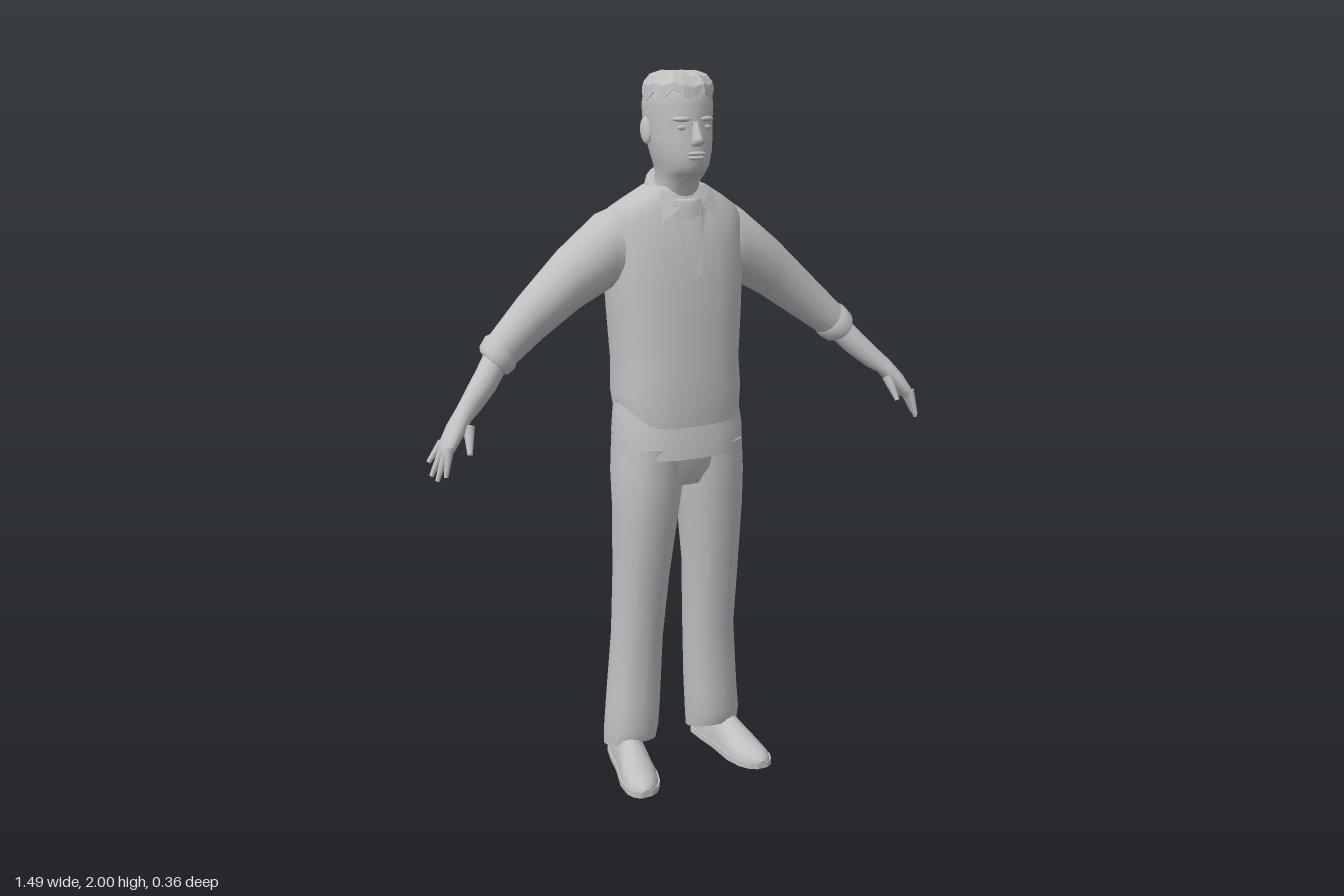
import * as THREE from 'three';

const grey = new THREE.MeshStandardMaterial({ color: 0xc0c0c0, side: THREE.DoubleSide });
grey.name = 'plain grey';
const SEG = 20;
const V = (x, y, z) => new THREE.Vector3(x, y, z);
const se = (v, p) => Math.sign(v) * Math.abs(v) ** p;

// Closed skin over rings of points, with flat caps; turned outward by its signed volume
function loft(rings, faceted = false) {
  const n = rings[0].length, pts = rings.flat(), idx = [];
  for (let r = 0; r < rings.length - 1; r++) {
    for (let i = 0; i < n; i++) {
      const a = r * n + i, b = r * n + (i + 1) % n;
      idx.push(a, b, a + n, b, b + n, a + n);
    }
  }
  [rings[0], rings[rings.length - 1]].forEach((ring, end) => {
    const base = pts.length;
    const mid = ring.reduce((m, p) => m.add(p), V(0, 0, 0)).divideScalar(n);
    pts.push(...ring, mid);
    for (let i = 0; i < n; i++) {
      const a = base + i, b = base + (i + 1) % n;
      idx.push(...(end ? [a, b, base + n] : [b, a, base + n]));
    }
  });
  let volume = 0;
  for (let i = 0; i < idx.length; i += 3) {
    volume += pts[idx[i]].dot(V(0, 0, 0).crossVectors(pts[idx[i + 1]], pts[idx[i + 2]]));
  }
  if (volume < 0) idx.reverse();
  let geo = new THREE.BufferGeometry().setFromPoints(pts);
  geo.setIndex(idx);
  if (faceted) geo = geo.toNonIndexed();
  geo.computeVertexNormals();
  return geo;
}

const ringOf = (fn, n = SEG) => Array.from({ length: n }, (_, i) => {
  const a = (i / n) * Math.PI * 2;
  return fn(Math.cos(a), Math.sin(a), i);
});

// Level ring between xa..xb and zb..zf; lift(c, s, i) shifts points up or down
const level = (y, xa, xb, zf, zb, p = 1, lift = () => 0) => ringOf((c, s, i) => V(
  (xa + xb) / 2 + (xb - xa) / 2 * se(c, p),
  y + lift(c, s, i),
  (zf + zb) / 2 + (zf - zb) / 2 * se(s, p)));

// Arm ring spanning an upper and a lower point, with a depth centre and radius
const armRing = (side) => ([tx, ty, bx, by, zc, zr]) => ringOf((c, s) => V(
  side * ((tx + bx) / 2 + (tx - bx) / 2 * c), (ty + by) / 2 + (ty - by) / 2 * c, zc + zr * s), 14);

export function createModel() {
  const model = new THREE.Group();
  const add = (name, geo, parent = model) => {
    const mesh = new THREE.Mesh(geo, grey);
    mesh.name = name;
    parent.add(mesh);
    return mesh;
  };
  const rod = (name, a, b, ra, rb, parent) => {
    const d = b.clone().sub(a);
    const mesh = add(name, new THREE.CylinderGeometry(rb, ra, d.length(), 7), parent);
    mesh.position.copy(a).add(b).multiplyScalar(0.5);
    mesh.quaternion.setFromUnitVectors(V(0, 1, 0), d.normalize());
  };
  const blob = (name, x, y, z, sx, sy, sz, parent) => {
    const mesh = add(name, new THREE.SphereGeometry(1, 12, 8), parent);
    mesh.position.set(x, y, z);
    mesh.scale.set(sx, sy, sz);
    return mesh;
  };
  const plate = (name, points) => {
    const geo = new THREE.BufferGeometry().setFromPoints(points);
    geo.setIndex(points.length === 4 ? [0, 1, 2, 0, 2, 3] : [0, 1, 2]);
    geo.computeVertexNormals();
    add(name, geo);
  };

  // Undershirt showing below the sweater
  add('undershirt', loft([
    [0.97, 0.187, 0.130, -0.158], [1.03, 0.187, 0.124, -0.158],
    [1.09, 0.180, 0.112, -0.158], [1.16, 0.165, 0.100, -0.155],
  ].map(([y, w, f, b]) => level(y, -w, w, f, b, 0.85))));

  // Sweater, its hem raised at the sides and low at the back
  const hem = (c, s) => 0.06 * Math.abs(c) ** 4 - (s < 0 ? 0.045 * s * s : 0) + 0.006 * Math.sin(5 * c);
  add('sweater', loft([
    [1.05, 0.179, 0.118, -0.163], [1.14, 0.183, 0.122, -0.172], [1.22, 0.179, 0.116, -0.177],
    [1.35, 0.188, 0.108, -0.178], [1.45, 0.194, 0.100, -0.178], [1.55, 0.195, 0.084, -0.177],
    [1.60, 0.200, 0.068, -0.168], [1.64, 0.180, 0.055, -0.150], [1.67, 0.135, 0.045, -0.125],
    [1.70, 0.085, 0.030, -0.100],
  ].map(([y, w, f, b], i) => level(y, -w, w, f, b, 0.82, i ? undefined : hem))));

  // Collar band sloping down to the front, with an open neck
  const slope = (c, s) => -0.042 * s;
  add('collar', loft([
    [1.655, 0.094, 0.066, -0.112], [1.700, 0.080, 0.058, -0.104], [1.706, 0.072, 0.052, -0.096],
  ].map(([y, w, f, b]) => level(y, -w, w, f, b, 1, slope))));
  for (const s of [-1, 1]) {
    plate('collarFlap', [V(s * 0.075, 1.695, 0.040), V(s * 0.088, 1.61, 0.074), V(s * 0.03, 1.65, 0.074)]);
    plate('necklineEdge', [V(s * 0.05, 1.66, 0.066), V(s * 0.03, 1.65, 0.074),
      V(-0.012, 1.47, 0.104), V(s * 0.012, 1.47, 0.106)]);
  }
  plate('placket', [V(0.028, 1.63, 0.078), V(0.004, 1.62, 0.078), V(-0.014, 1.46, 0.106), V(0.006, 1.46, 0.106)]);

  // Head and neck
  const head = new THREE.Group();
  head.name = 'head';
  model.add(head);
  add('skull', loft([
    [1.64, 0.066, 0.035, -0.090], [1.71, 0.060, 0.052, -0.088], [1.733, 0.060, 0.092, -0.088],
    [1.755, 0.068, 0.107, -0.090], [1.79, 0.078, 0.108, -0.100], [1.83, 0.085, 0.104, -0.115],
    [1.87, 0.088, 0.099, -0.126], [1.91, 0.091, 0.099, -0.128], [1.95, 0.087, 0.090, -0.112],
    [1.975, 0.072, 0.068, -0.085], [1.988, 0.045, 0.035, -0.050],
  ].map(([y, w, f, b]) => level(y, -w, w, f, b))), head);
  add('nose', loft([
    [1.808, 0.012, 0.114], [1.816, 0.019, 0.132], [1.828, 0.014, 0.130], [1.87, 0.008, 0.106],
  ].map(([y, w, f]) => level(y, -w, w, f, 0.08))), head);
  blob('upperLip', 0, 1.789, 0.104, 0.028, 0.006, 0.011, head);
  blob('lowerLip', 0, 1.778, 0.103, 0.024, 0.007, 0.010, head);
  for (const s of [-1, 1]) {
    blob('eye', s * 0.034, 1.855, 0.089, 0.015, 0.007, 0.007, head);
    blob('brow', s * 0.036, 1.876, 0.088, 0.024, 0.007, 0.010, head).rotation.y = s * 0.35;
    const ear = blob('ear', s * 0.089, 1.845, -0.018, 0.009, 0.036, 0.022, head);
    ear.rotation.set(-0.2, s * -0.3, 0);
  }

  // Short faceted hair with a ragged fringe and crown
  const ragged = (amount) => (c, s, i) => amount * ((i * 7) % 5 - 2);
  add('hair', loft([
    [1.935, 0.091, 0.096, -0.118, 0.008], [1.962, 0.088, 0.090, -0.110, 0.003],
    [1.984, 0.074, 0.068, -0.085, 0.002], [1.996, 0.045, 0.035, -0.050, 0.001],
  ].map(([y, w, f, b, r]) => level(y, -w, w, f, b, 0.95, ragged(r))), true), head);

  // Hips joining the trouser legs
  add('trouserSeat', loft([
    [0.88, 0.06, 0.075, -0.10], [0.93, 0.15, 0.098, -0.135], [1.0, 0.18, 0.112, -0.150],
  ].map(([y, w, f, b]) => level(y, -w, w, f, b, 0.85))));

  for (const s of [-1, 1]) {
    const side = s > 0 ? 'left' : 'right';

    // Trouser leg, its cuff lifted over the shoe
    add(side + 'TrouserLeg', loft([
      [0.055, 0.062, 0.212, 0.020, -0.142, 0.028], [0.11, 0.056, 0.213, 0.032, -0.140, 0.015],
      [0.20, 0.050, 0.206, 0.030, -0.136, 0], [0.40, 0.043, 0.190, 0.034, -0.128, 0],
      [0.60, 0.033, 0.189, 0.064, -0.118, 0], [0.80, 0.012, 0.190, 0.094, -0.124, 0],
      [0.90, -0.002, 0.190, 0.105, -0.142, 0], [1.0, -0.004, 0.182, 0.112, -0.152, 0],
    ].map(([y, a, b, f, k, t]) => level(y, s * a, s * b, f, k, 0.9, (c, q) => t * q))));

    // Shoe: domed upper on a thin sole, toes turned out
    const stations = [[-0.132, 0.022, 0.04], [-0.115, 0.042, 0.07], [-0.06, 0.046, 0.1], [0.0, 0.046, 0.108],
      [0.04, 0.050, 0.09], [0.09, 0.055, 0.064], [0.14, 0.048, 0.05], [0.168, 0.032, 0.038], [0.18, 0.012, 0.024]];
    const footX = (z) => 0.138 + 0.05 * (z + 0.13) / 0.31;
    add(side + 'Shoe', loft(stations.map(([z, w, h]) => ringOf((c, q) =>
      V(s * (footX(z) + w * c), 0.008 + (h - 0.008) * se(Math.max(q, 0), 0.8), z)))));
    add(side + 'Sole', loft(stations.map(([z, w]) =>
      [[-1, 0], [1, 0], [1, 0.018], [-1, 0.018]].map(([x, y]) =>
        V(s * (footX(z) + x * (w + 0.004)), y, z))), true));

    // Sleeve running out of the shoulder, with a rolled cuff
    const ring = armRing(s);
    add(side + 'Sleeve', loft([
      [0.10, 1.670, 0.13, 1.40, -0.065, 0.085], [0.205, 1.632, 0.19, 1.425, -0.062, 0.098],
      [0.32, 1.540, 0.28, 1.378, -0.060, 0.080], [0.44, 1.425, 0.39, 1.305, -0.050, 0.062],
      [0.545, 1.318, 0.485, 1.240, -0.028, 0.052],
    ].map(ring)));
    add(side + 'Cuff', loft([
      [0.525, 1.335, 0.468, 1.252, -0.033, 0.052], [0.542, 1.330, 0.474, 1.240, -0.030, 0.060],
      [0.562, 1.305, 0.496, 1.226, -0.022, 0.058], [0.562, 1.290, 0.508, 1.228, -0.018, 0.048],
    ].map(ring)));

    // Forearm flowing into the palm
    add(side + 'Forearm', loft([
      [0.54, 1.305, 0.495, 1.245, -0.025, 0.043], [0.585, 1.250, 0.540, 1.195, 0.008, 0.040],
      [0.630, 1.200, 0.592, 1.152, 0.038, 0.032], [0.655, 1.172, 0.622, 1.135, 0.058, 0.030],
      [0.688, 1.130, 0.648, 1.105, 0.072, 0.040], [0.712, 1.088, 0.678, 1.072, 0.083, 0.043],
      [0.714, 1.072, 0.688, 1.060, 0.085, 0.038],
    ].map(ring)));
    [[0.052, 0.737, 1.035, 0.052], [0.074, 0.738, 1.005, 0.078],
      [0.096, 0.730, 0.998, 0.104], [0.116, 0.714, 1.012, 0.128]].forEach(([z, x, y, tipZ]) =>
      rod(side + 'Finger', V(s * 0.698, 1.085, z), V(s * x, y, tipZ), 0.012, 0.006));
    rod(side + 'Thumb', V(s * 0.636, 1.125, 0.085), V(s * 0.648, 1.062, 0.125), 0.016, 0.007);
  }
  return model;
}
